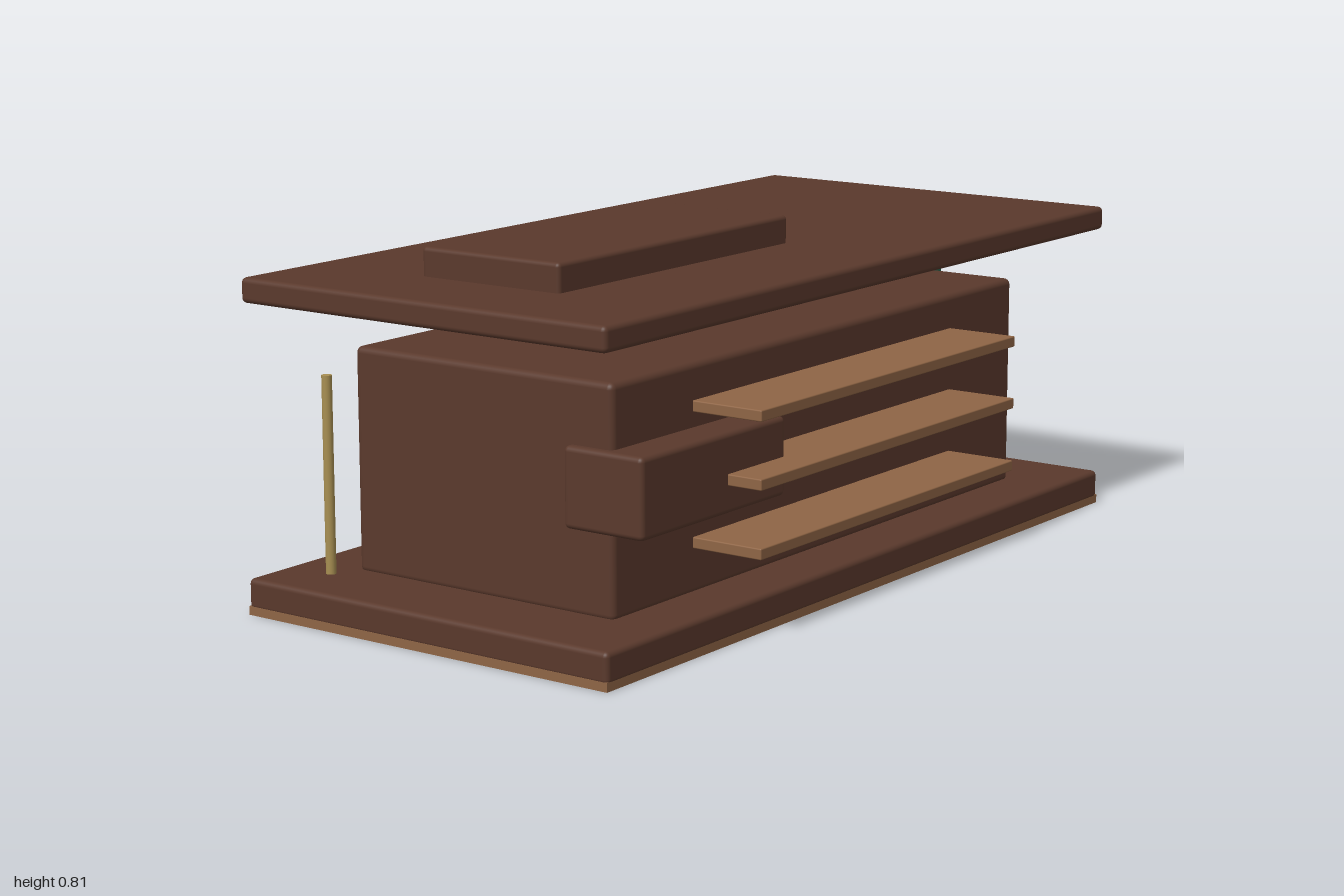
import * as THREE from 'three';
import { RoundedBoxGeometry } from 'three/addons/geometries/RoundedBoxGeometry.js';

const mat = (name, color) => {
  const m = new THREE.MeshStandardMaterial({ color });
  m.name = name;
  return m;
};

export function createModel() {
  const group = new THREE.Group();
  const brown = mat('dark walnut', 0x5a392c);
  const wood = mat('light wood', 0x8f6545);
  const brass = mat('brass', 0xa88f52);
  const green = mat('green canopy', 0x28604a);

  const add = (name, geometry, material, x, y, z, parent = group) => {
    const m = new THREE.Mesh(geometry, material);
    m.name = name;
    m.position.set(x, y, z);
    parent.add(m);
    return m;
  };
  // Box given by its limits on each axis; r > 0 rounds the edges
  const box = (name, material, [x0, x1], [y0, y1], [z0, z1], r = 0, parent = group) => {
    const s = [x1 - x0, y1 - y0, z1 - z0];
    const g = r ? new RoundedBoxGeometry(...s, 3, r) : new THREE.BoxGeometry(...s);
    return add(name, g, material, (x0 + x1) / 2, (y0 + y1) / 2, (z0 + z1) / 2, parent);
  };

  // Base slab on a wooden sole
  box('baseSole', wood, [-1, 1], [0, 0.02], [-0.492, 0.492]);
  box('baseSlab', brown, [-1, 1], [0.012, 0.082], [-0.493, 0.493], 0.012);

  // Main block, side box, floating roof and roof box
  box('mainBlock', brown, [-0.8, 0.797], [0.075, 0.582], [-0.35, 0.355], 0.015);
  box('sideBox', brown, [-0.82, -0.305], [0.265, 0.442], [0.24, 0.446], 0.012);
  box('roof', brown, [-1, 1], [0.69, 0.746], [-0.493, 0.493], 0.012);
  box('roofBox', brown, [-0.76, 0.075], [0.735, 0.81], [-0.187, 0.187], 0.01);

  // Canopy at the back corner, with two posts
  box('canopy', green, [0.225, 0.956], [0.515, 0.566], [-0.455, 0.06], 0.012);
  for (const x of [-0.863, 0.856]) {
    add('post', new THREE.CylinderGeometry(0.0115, 0.0115, 0.447, 16), brass, x, 0.3015, -0.375);
  }

  // Shelves running through the block, front and back
  const shelfY = [0.19, 0.34, 0.488];
  for (const y of shelfY) {
    box('shelf', wood, [-0.52, 0.516], [y - 0.0125, y + 0.0125], [-0.532, 0.532], 0.003);
  }

  // Pairs of pegs between the back shelves
  const peg = new THREE.CylinderGeometry(0.013, 0.013, 0.125, 12);
  for (const y of [0.265, 0.414]) {
    for (const x of [-0.36, -0.01, 0.34]) {
      for (const side of [-1, 1]) add('shelfPeg', peg, brown, x + side * 0.026, y, -0.39);
    }
  }

  // Moulded frame on the back
  const frame = new THREE.Group();
  frame.name = 'backFrame';
  group.add(frame);
  for (const y of [0.13, 0.49]) {
    box('frameRail', brown, [-0.675, 0.675], [y - 0.015, y + 0.015], [-0.363, -0.34], 0.006, frame);
  }
  for (const x of [-0.66, 0.66]) {
    box('frameStile', brown, [x - 0.015, x + 0.015], [0.115, 0.505], [-0.363, -0.34], 0.006, frame);
  }

  // Row of small brass beads above the frame
  const bead = new THREE.SphereGeometry(0.006, 8, 6);
  for (let i = 0; i < 60; i++) {
    add('bead', bead, brass, -0.6 + (1.2 * i) / 59, 0.52, -0.353);
  }

  // Brass strip along the back edge of the base
  box('edgeStrip', brass, [-0.84, 0.84], [0.054, 0.07], [-0.507, -0.493]);

  return group;
}
